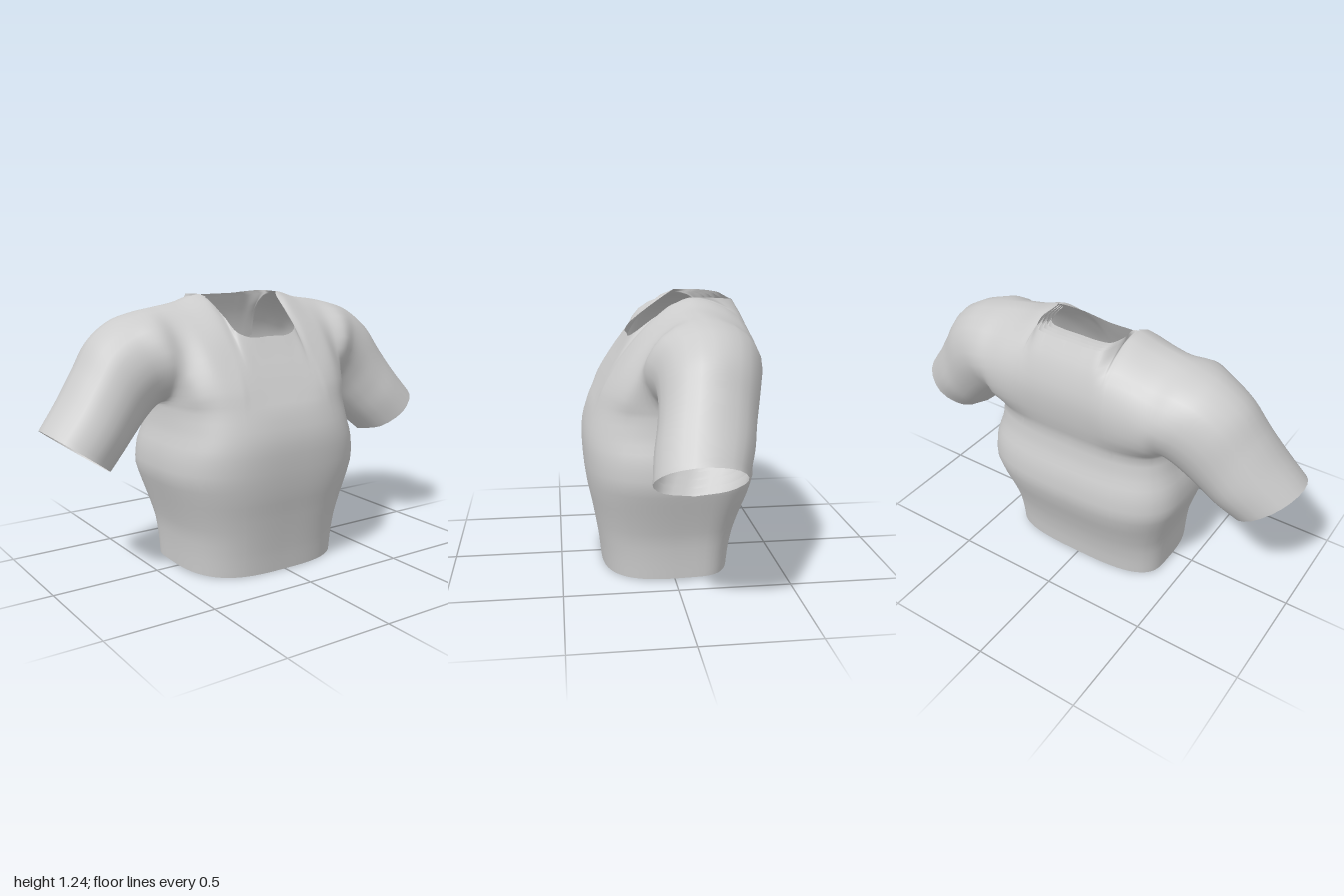
import * as THREE from 'three';
import { mergeGeometries, mergeVertices } from 'three/addons/utils/BufferGeometryUtils.js';

const V = (x, y, z) => new THREE.Vector3(x, y, z);
const { lerp, clamp } = THREE.MathUtils;
const ARMPIT_Y = 0.755, SIDE_Z = -0.09; // height of the armpit, depth of the side seam
const STEPS = 6, M = 12, RINGS = 20;

// Torso [half width, front z, back z] at even heights from hem to armpit
const torso = new THREE.CatmullRomCurve3([
  [0.40, 0.31, -0.27], [0.405, 0.32, -0.28], [0.415, 0.335, -0.30], [0.44, 0.352, -0.33],
  [0.47, 0.372, -0.365], [0.495, 0.385, -0.385], [0.487, 0.39, -0.375],
  [0.458, 0.382, -0.345], [0.445, 0.353, -0.333],
].map((p) => V(...p)));

// Point on a torso ring: t = 0 hem, 1 armpit; angle runs from -PI/2 to PI/2 across the body
function ringPoint(t, angle, back) {
  const r = torso.getPoint(t), n = 2 / 3.1;
  const s = Math.sin(angle), c = Math.pow(Math.max(0, Math.cos(angle)), n);
  const x = r.x * Math.sign(s) * Math.pow(Math.abs(s), n);
  const z = SIDE_Z + ((back ? r.z : r.y) - SIDE_Z) * c;
  const lift = 0.018 * (1 - t) ** 4 * clamp((0.31 - z) / 0.58, 0, 1);
  return V(x, ARMPIT_Y * t + lift, z);
}

// Chest and back from the middle to the armpit: x at the top, then four (y, z) pairs going up
const angles = [0, 0.1, 0.205, 0.29, 0.385, 0.67, 1.0, Math.PI / 2];
const frontRows = [
  [0, 0.84, 0.306, 0.92, 0.26, 0.99, 0.217, 1.06, 0.175],
  [0.1, 0.84, 0.306, 0.92, 0.26, 0.99, 0.217, 1.06, 0.175],
  [0.157, 0.84, 0.306, 0.93, 0.254, 1.01, 0.203, 1.085, 0.15],
  [0.173, 0.85, 0.30, 0.96, 0.233, 1.06, 0.155, 1.15, 0.065],
  [0.21, 0.85, 0.298, 0.98, 0.215, 1.11, 0.11, 1.235, -0.07],
  [0.32, 0.85, 0.265, 0.98, 0.195, 1.11, 0.08, 1.207, -0.08],
  [0.42, 0.83, 0.205, 0.97, 0.15, 1.11, 0.055, 1.193, -0.09],
];
const backRows = [
  [0, 0.87, -0.362, 1.0, -0.371, 1.12, -0.34, 1.22, -0.285],
  [0.1, 0.87, -0.362, 1.0, -0.371, 1.12, -0.34, 1.22, -0.285],
  [0.165, 0.87, -0.362, 1.0, -0.372, 1.125, -0.337, 1.225, -0.275],
  [0.2, 0.87, -0.364, 1.01, -0.372, 1.14, -0.32, 1.234, -0.2],
  [0.21, 0.87, -0.365, 1.02, -0.37, 1.155, -0.3, 1.235, -0.07],
  [0.32, 0.87, -0.36, 1.02, -0.363, 1.14, -0.285, 1.207, -0.08],
  [0.42, 0.85, -0.335, 0.99, -0.357, 1.12, -0.28, 1.193, -0.09],
];
// Sleeve loops from armpit to cuff: bottom x, y, top x, y, front z, back z
const sleeveRows = [
  [0.445, 0.755, 0.515, 1.175, 0.142, -0.35],
  [0.465, 0.74, 0.625, 1.143, 0.112, -0.332],
  [0.515, 0.695, 0.735, 1.068, 0.105, -0.307],
  [0.58, 0.635, 0.82, 0.945, 0.118, -0.28],
  [0.65, 0.57, 0.9, 0.83, 0.14, -0.257],
  [0.72, 0.505, 1.0, 0.71, 0.155, -0.215],
];
const BODY = frontRows.length, LAST = BODY + sleeveRows.length - 1, NECK = 4;

// Five points from underside to top of one key section
function keySection(k, back) {
  const pts = [];
  for (let i = 0; i < 5; i++) {
    if (k < BODY) {
      const row = (back ? backRows : frontRows)[k], foot = ringPoint(1, angles[k], back);
      pts.push(i ? V(lerp(foot.x, row[0], i / 4), row[2 * i - 1], row[2 * i]) : foot);
    } else {
      const [xb, yb, xt, yt, zf, zb] = sleeveRows[k - BODY], a = (i / 4) * Math.PI;
      const u = (1 - Math.cos(a)) / 2, h = ((zf - zb) / 2) * Math.sin(a) * (back ? -1 : 1);
      pts.push(V(lerp(xb, xt, u), lerp(yb, yt, u), (zf + zb) / 2 + h));
    }
  }
  return pts;
}

// Five long curves from cuff to cuff through the mirrored key sections
function longCurves(back) {
  const keys = [];
  for (let k = -LAST; k <= LAST; k++) {
    keys.push(keySection(Math.abs(k), back).map((p) => V(k < 0 ? -p.x : p.x, p.y, p.z)));
  }
  return [0, 1, 2, 3, 4].map((i) => new THREE.CatmullRomCurve3(keys.map((s) => s[i])));
}

// Half section from underside to top; its end bends towards the other half by the weight w
function halfSection(pts, beyond, w) {
  const end = pts[4].clone().multiplyScalar(2).sub(pts[3]).lerp(beyond, w);
  const curve = new THREE.CatmullRomCurve3([...pts, end]);
  return Array.from({ length: M + 1 }, (_, j) => curve.getPoint((0.8 * j) / M));
}

// Surface through rows of points
function grid(rows) {
  const pos = [], index = [], w = rows[0].length;
  rows.forEach((r) => r.forEach((p) => pos.push(p.x, p.y, p.z)));
  for (let i = 0; i < rows.length - 1; i++) {
    for (let j = 0; j < w - 1; j++) {
      const a = i * w + j, b = a + w;
      index.push(a, b, b + 1, a, b + 1, a + 1);
    }
  }
  const g = new THREE.BufferGeometry();
  g.setAttribute('position', new THREE.Float32BufferAttribute(pos, 3));
  g.setIndex(index);
  return g;
}

function smooth(parts) {
  const g = mergeVertices(mergeGeometries(parts), 1e-4);
  g.computeVertexNormals();
  return g;
}

export function createModel() {
  const group = new THREE.Group();
  const material = new THREE.MeshStandardMaterial({ color: 0xcccccc, side: THREE.DoubleSide });
  const add = (name, parts) => {
    const mesh = new THREE.Mesh(smooth(parts), material);
    mesh.name = name;
    group.add(mesh);
  };

  const fc = longCurves(false), bc = longCurves(true);
  const front = [], back = [], torsoFront = [], torsoBack = [], neckBack = [];
  const total = 2 * LAST * STEPS;
  for (let s = 0; s <= total; s++) {
    const k = s / STEPS - LAST, ak = Math.abs(k);
    const f = fc.map((c) => c.getPoint(s / total));
    const b = bc.map((c) => c.getPoint(s / total));

    // torso below the armpits
    if (ak <= BODY) {
      const i = Math.min(Math.floor(ak), BODY - 1);
      const angle = Math.sign(k) * lerp(angles[i], angles[i + 1], ak - i);
      f[0] = ringPoint(1, angle, false);
      b[0] = ringPoint(1, angle, true);
      const column = (isBack) => Array.from({ length: RINGS + 1 }, (_, j) => ringPoint(j / RINGS, angle, isBack));
      torsoFront.push(column(false));
      torsoBack.push(column(true).reverse());
    }

    // the two halves meet over the shoulder and part at the neck opening
    if (ak >= NECK) b[4].copy(f[4]);
    const w = clamp(ak - NECK + 1, 0, 1);
    front.push(halfSection(f, b[3], w));
    back.push(halfSection(b, f[3], w).reverse());
    if (ak <= NECK) neckBack.push(back[s]);
  }
  add('shirtBodyAndSleeves', [front, back, torsoFront, torsoBack].map(grid));

  // nested lining layers inside the openings
  const cuff = front.map((row, s) => [...row, ...back[s].slice(1)]);
  for (const i of [1, 2, 3]) {
    add('collarLining', [grid(neckBack.map((row) => row.slice(0, 7).map((p) =>
      V(p.x * (1 - 0.035 * i), p.y - 0.003 * i, lerp(p.z, -0.05, 0.12 * i)))))]);

    const inset = (p) => V(p.x * (1 - 0.025 * i), p.y + 0.004 * i, lerp(p.z, SIDE_Z, 0.07 * i));
    add('hemLining', [
      grid(torsoFront.map((c) => c.slice(0, 9).map(inset))),
      grid(torsoBack.map((c) => c.slice(-9).map(inset))),
    ]);

    const band = cuff.slice(2 * i, 2 * i + 8).map((row) => {
      const mid = row[0].clone().lerp(row[M], 0.5);
      return row.map((p) => p.clone().lerp(mid, 0.05 * i));
    });
    add('rightCuffLining', [grid(band)]);
    add('leftCuffLining', [grid(band.map((row) => row.map((p) => V(-p.x, p.y, p.z))).reverse())]);
  }
  return group;
}
